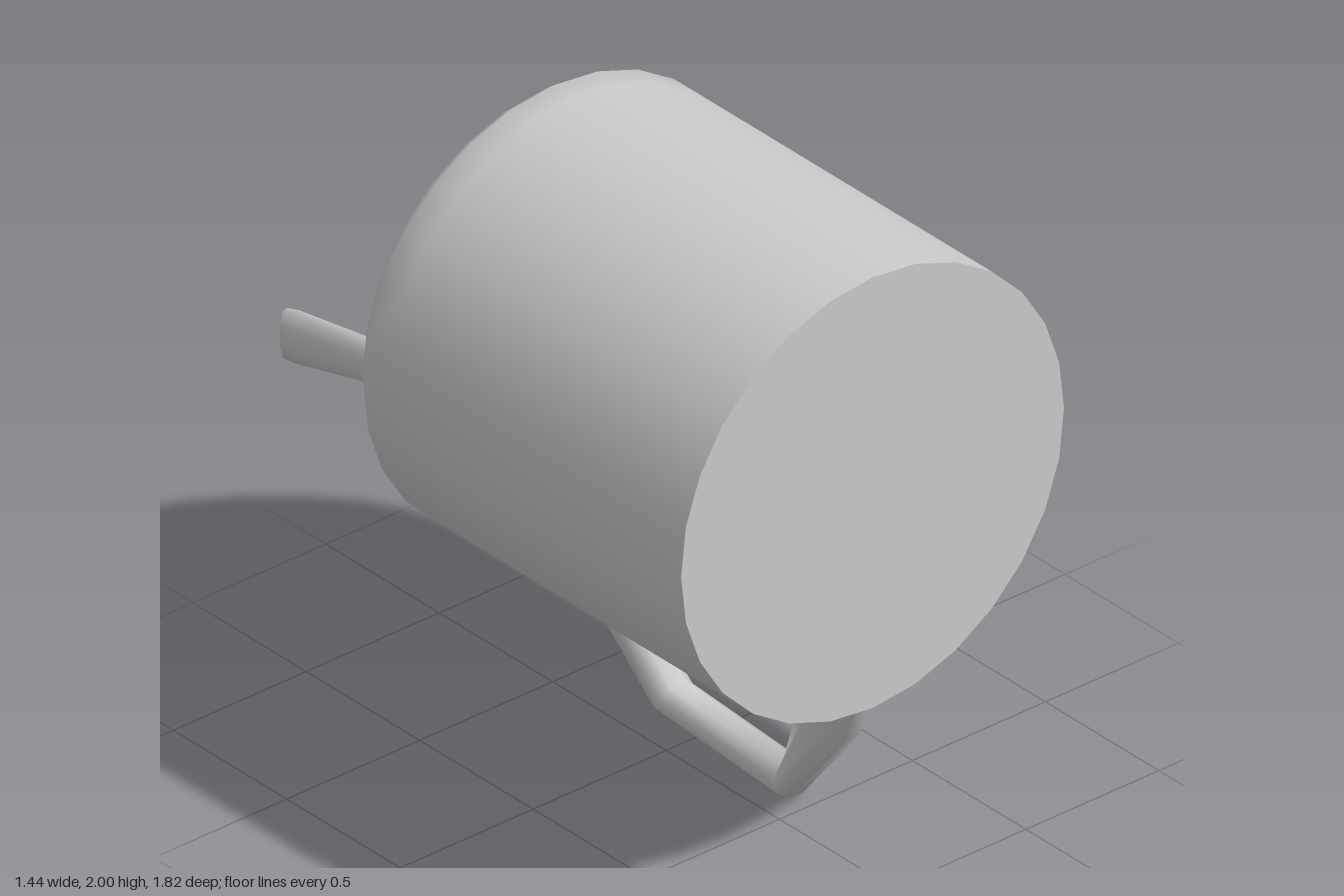
import * as THREE from 'three';

const SIDES = 28, AXIS_Y = 1.28;
const material = new THREE.MeshStandardMaterial({ color: 0xcccccc });

function addPart(group, name, geometry) {
  const mesh = new THREE.Mesh(geometry, material);
  mesh.name = name;
  group.add(mesh);
  return mesh;
}

// Skins octagonal sections { c: centre, u, v: half axes }, u x v pointing along the path.
function loft(sections, n = 8) {
  const pos = [], index = [];
  const ring = ({ c, u, v }) => {
    for (let j = 0; j < n; j++) {
      const a = ((j + 0.5) / n) * Math.PI * 2, k = 1 / Math.cos(Math.PI / n);
      const p = c.clone().addScaledVector(u, k * Math.cos(a)).addScaledVector(v, k * Math.sin(a));
      pos.push(p.x, p.y, p.z);
    }
  };
  sections.forEach(ring);
  for (let i = 0; i < sections.length - 1; i++) {
    for (let j = 0; j < n; j++) {
      const a = i * n + j, b = i * n + ((j + 1) % n);
      index.push(a, b, b + n, a, b + n, a + n);
    }
  }
  // end caps with their own corners, so the ends stay crisp
  const start = sections.length * n, end = start + n;
  ring(sections[0]);
  ring(sections[sections.length - 1]);
  for (let j = 1; j < n - 1; j++) {
    index.push(start, start + j + 1, start + j, end, end + j, end + j + 1);
  }
  const g = new THREE.BufferGeometry();
  g.setAttribute('position', new THREE.Float32BufferAttribute(pos, 3));
  g.setIndex(index);
  g.computeVertexNormals();
  return g;
}

export function createModel() {
  const model = new THREE.Group();
  model.name = 'mug';

  // Cup lying on its side: profile as [radius, distance towards the back]
  const profile = [
    [0.72, -0.91], [0.72, 0.40], [0.72, 0.49], [0.685, 0.535], [0.64, 0.545],
    [0.59, 0.525], [0.555, 0.47], [0.525, 0.39],
  ].map(([r, h]) => new THREE.Vector2(r, h));
  const wall = new THREE.LatheGeometry(profile, SIDES).rotateX(-Math.PI / 2);
  addPart(model, 'cupWall', wall).position.y = AXIS_Y;

  // Flat base facing the front
  addPart(model, 'cupBase', new THREE.CircleGeometry(0.72, SIDES)).position.set(0, AXIS_Y, 0.91);

  // Drink surface set back inside the rim
  const drink = new THREE.CircleGeometry(0.526, SIDES).rotateY(Math.PI);
  addPart(model, 'drinkSurface', drink).position.set(0, AXIS_Y, -0.39);

  // Angular handle: outer and inner corners of each section as [z, y]
  const corners = [
    [[0.835, 0.62], [0.575, 0.62]],
    [[0.81, 0.56], [0.60, 0.56]],
    [[0.72, 0.34], [0.52, 0.37]],
    [[0.43, 0.00], [0.41, 0.11]],
    [[-0.13, 0.045], [-0.07, 0.145]],
    [[-0.40, 0.35], [-0.27, 0.35]],
    [[-0.40, 0.62], [-0.27, 0.62]],
  ];
  const lean = (y) => 0.065 + (0.56 - y) * 0.1;
  addPart(model, 'handle', loft(corners.map(([outer, inner]) => {
    const o = new THREE.Vector3(lean(outer[1]), outer[1], outer[0]);
    const i = new THREE.Vector3(lean(inner[1]), inner[1], inner[0]);
    return {
      c: o.clone().add(i).multiplyScalar(0.5),
      u: new THREE.Vector3(0.065, 0, 0),
      v: o.sub(i).multiplyScalar(0.5),
    };
  })));

  // Spoon handle: a flat strip widening to its end, [x, z, half thickness, half height]
  const strip = [
    [-0.50, -0.37, 0.02, 0.058],
    [-0.555, -0.54, 0.021, 0.065],
    [-0.655, -0.86, 0.026, 0.083],
    [-0.667, -0.898, 0.025, 0.078],
  ];
  addPart(model, 'spoonHandle', loft(strip.map(([x, z, t, h]) => ({
    c: new THREE.Vector3(x, 1.245, z),
    u: new THREE.Vector3(t, 0, -0.3 * t),
    v: new THREE.Vector3(0, -h, 0),
  }))));

  return model;
}
